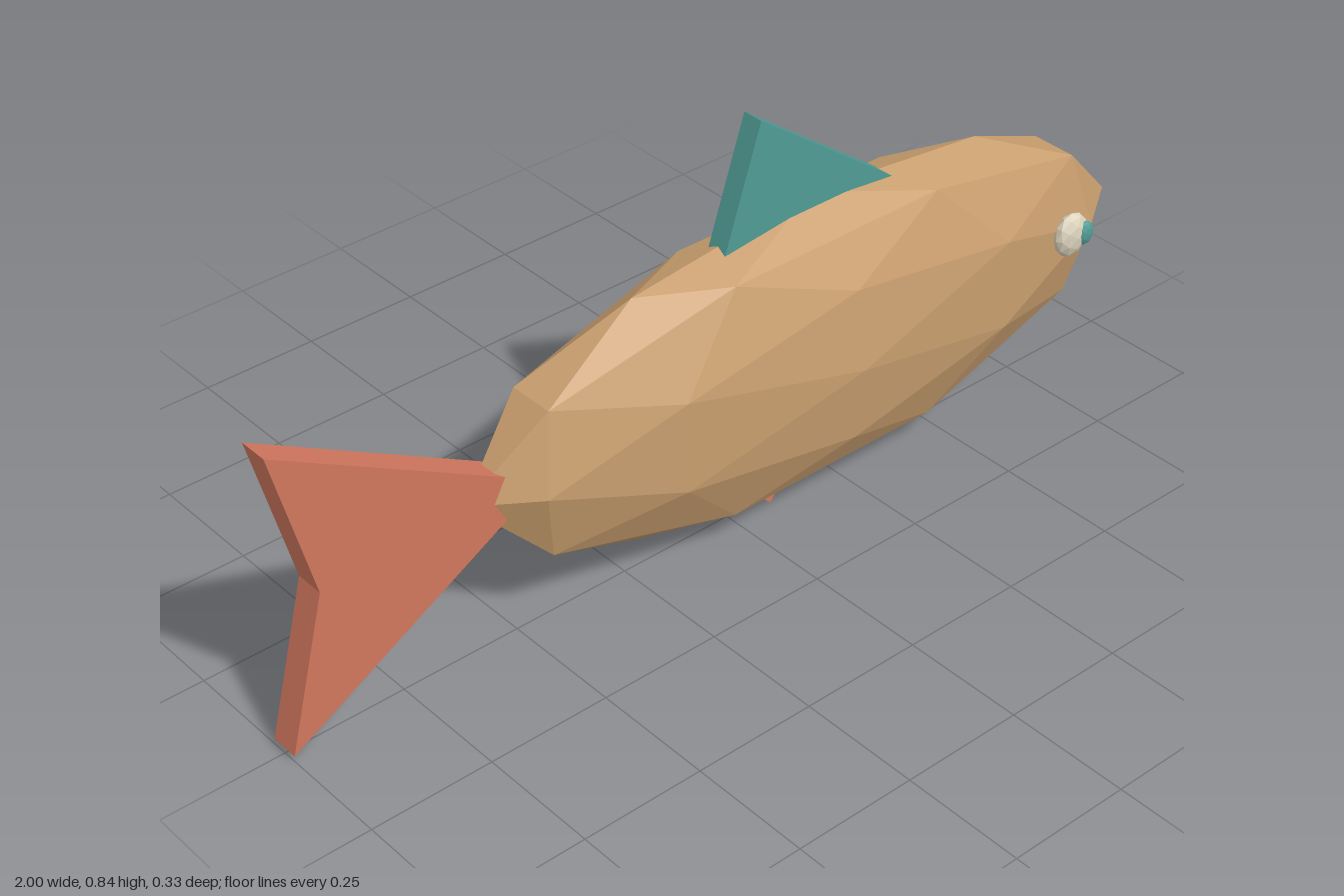
import * as THREE from 'three';

const mat = (name, color) => {
  const m = new THREE.MeshStandardMaterial({ color });
  m.name = name;
  return m;
};

export function createModel() {
  const fish = new THREE.Group();
  fish.name = 'fish';
  const tan = mat('tan', 0xc89e6e);
  const coral = mat('coral', 0xd0775e);
  const teal = mat('teal', 0x509b96);
  const cream = mat('cream', 0xdcd3bc);

  // Faceted ellipsoid: a subdivided icosahedron stretched on each axis
  const blob = (name, material, radii, centre) => {
    const geo = new THREE.IcosahedronGeometry(1, 1).scale(...radii);
    geo.computeVertexNormals(); // unshared corners give flat facets
    const mesh = new THREE.Mesh(geo, material);
    mesh.position.set(...centre);
    mesh.name = name;
    fish.add(mesh);
  };

  // Flat fin cut from an outline and centred on z = 0
  const fin = (name, material, outline, thickness) => {
    const shape = new THREE.Shape(outline.map(([x, y]) => new THREE.Vector2(x, y)));
    const geo = new THREE.ExtrudeGeometry(shape, { depth: thickness, bevelEnabled: false });
    geo.translate(0, 0, -thickness / 2);
    const mesh = new THREE.Mesh(geo, material);
    mesh.name = name;
    fish.add(mesh);
  };

  blob('body', tan, [0.8, 0.31, 0.156], [0.2, 0.323, 0]);

  // Fins run slightly into the body
  fin('tailFin', coral, [[-1, 0.636], [-0.92, 0.324], [-1, 0.012], [-0.45, 0.324]], 0.06);
  fin('dorsalFin', teal, [[-0.034, 0.57], [0.43, 0.57], [0.06, 0.843]], 0.044);
  fin('bellyFin', coral, [[0.03, 0.06], [0.09, 0], [0.14, 0.06]], 0.044);

  // Eyes on both sides
  for (const [side, s] of [['left', 1], ['right', -1]]) {
    blob(side + 'Eye', cream, [0.041, 0.047, 0.022], [0.757, 0.377, s * 0.138]);
    blob(side + 'Pupil', teal, [0.02, 0.026, 0.012], [0.782, 0.377, s * 0.152]);
  }
  return fish;
}
